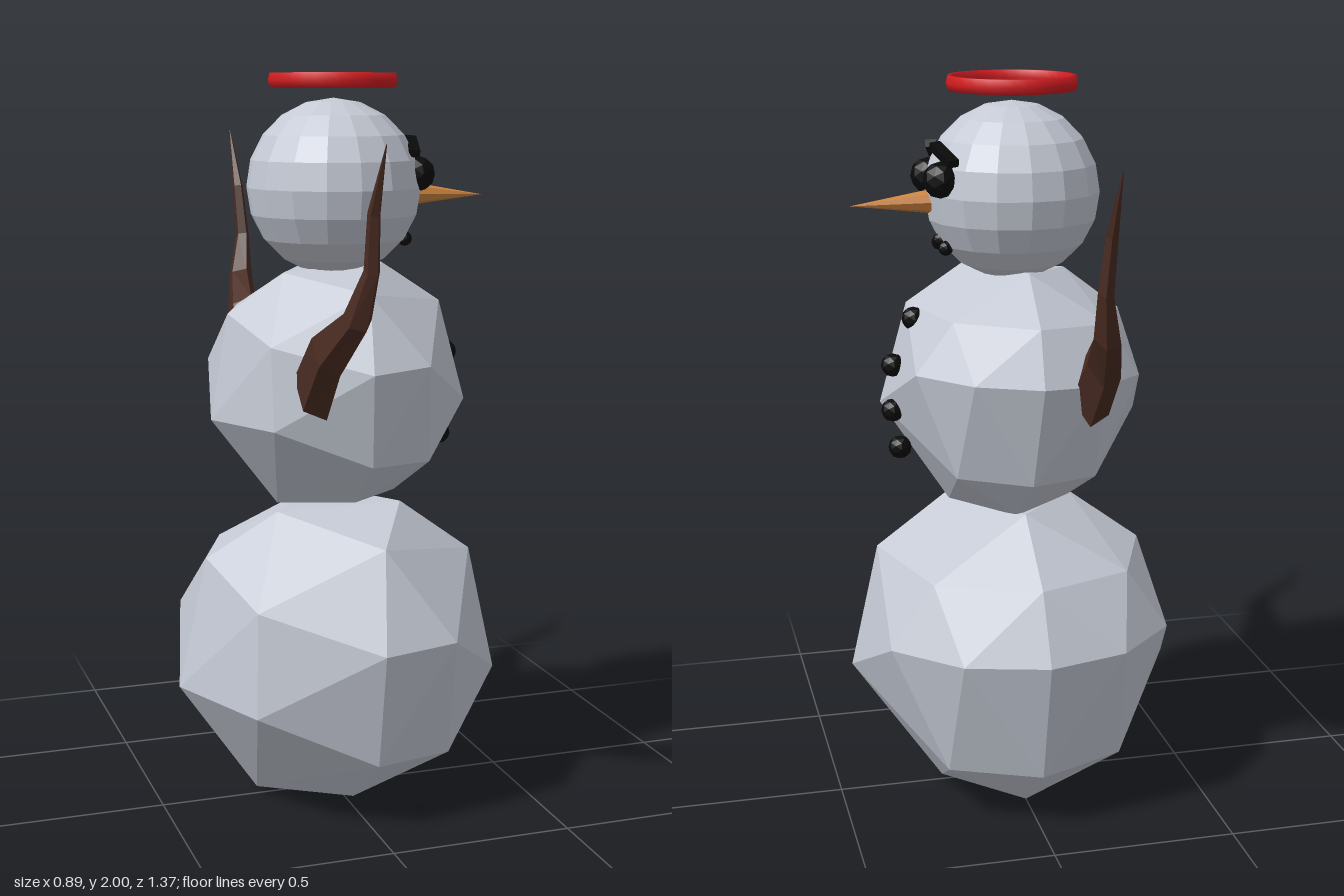
import * as THREE from 'three';
import { ConvexGeometry } from 'three/addons/geometries/ConvexGeometry.js';

const material = (name, color, flatShading = true) => {
  const m = new THREE.MeshStandardMaterial({ color, flatShading });
  m.name = name;
  return m;
};

// Corners of the rough snowball, relative to its centre
const SNOWBALL = [
  [.16, .42, .1], [0, .42, -.165], [-.18, .405, .06],                          // crown
  [.366, .27, .1], [.05, .335, .29], [0, .27, -.36], [-.366, .275, 0],         // shoulder
  [.27, .27, -.25], [-.26, .27, -.26], [-.3, .19, .28],
  [0, .09, .44], [.22, .09, .38], [.385, .09, -.236], [.22, .09, -.396],       // upper belt
  [0, .09, -.455], [-.22, .09, -.396], [-.385, .09, -.236],
  [.445, -.085, .105], [-.447, -.085, 0], [-.316, -.085, .32],                 // lower belt
  [0, -.23, .385], [.24, -.255, .28], [.24, -.255, -.28], [0, -.26, -.375], [-.24, -.255, -.28],
  [.207, -.41, 0], [-.228, -.405, 0], [0, -.425, -.175], [0, -.395, .175],     // foot
];

// Tapered twig with five-sided sections, bent in the z-y plane
// stations: [x, y, z, half width across x, half width in plane]
function twigGeometry(stations, side) {
  const N = 5, pos = [], index = [];
  stations.forEach(([x, y, z, rx, r], i) => {
    const a = stations[Math.max(i - 1, 0)];
    const b = stations[Math.min(i + 1, stations.length - 1)];
    const dir = new THREE.Vector2(b[2] - a[2], b[1] - a[1]).normalize();
    for (let k = 0; k < N; k++) {
      const t = (k / N) * Math.PI * 2;
      const u = Math.sin(t) * r;
      pos.push(x + Math.cos(t) * rx, y + u * dir.x, (z - u * dir.y) * side);
    }
  });
  const tri = (a, b, c) => index.push(...(side > 0 ? [a, b, c] : [a, c, b]));
  for (let i = 0; i < stations.length - 1; i++) {
    for (let k = 0; k < N; k++) {
      const a = i * N + k, b = i * N + (k + 1) % N;
      tri(a, b, b + N);
      tri(a, b + N, a + N);
    }
  }
  for (let k = 1; k < N - 1; k++) tri(0, k + 1, k);
  const g = new THREE.BufferGeometry();
  g.setAttribute('position', new THREE.Float32BufferAttribute(pos, 3));
  g.setIndex(index);
  g.computeVertexNormals();
  return g;
}

export function createModel() {
  const group = new THREE.Group();
  const snow = material('snow', 0xc4c9d4);
  const coal = material('coal', 0x0a0a0a);
  const bark = material('bark', 0x4a2c22);
  const carrot = material('carrot', 0xcc8440);
  const red = material('haloRed', 0xd01c20, false);

  const add = (name, geometry, mat, x = 0, y = 0, z = 0) => {
    const mesh = new THREE.Mesh(geometry, mat);
    mesh.name = name;
    mesh.position.set(x, y, z);
    group.add(mesh);
    return mesh;
  };

  // Body
  const ball = new ConvexGeometry(SNOWBALL.map(p => new THREE.Vector3(...p)));
  add('lowerBody', ball, snow, 0, 0.425, 0);
  const middle = add('upperBody', ball, snow, 0, 1.168, 0);
  middle.scale.setScalar(0.785);
  middle.rotation.z = 0.05;
  add('head', new THREE.SphereGeometry(0.235, 16, 10), snow, 0, 1.7, 0);

  // Halo: a thin upright band
  const band = [[.156, 1.962], [.168, 1.962], [.173, 1.98], [.168, 2], [.156, 2], [.154, 1.98], [.156, 1.962]];
  add('halo', new THREE.LatheGeometry(band.map(p => new THREE.Vector2(...p)), 32), red, 0, 0, -0.005);

  // Nose, pointing along +x
  const nose = add('nose', new THREE.ConeGeometry(0.034, 0.23, 8), carrot, 0.32, 1.675, -0.006);
  nose.rotation.z = -Math.PI / 2 - 0.03;

  // Coal pieces: [name, x, y, z, radius]
  [
    ['eye', .21, 1.735, .08, .048], ['eye', .21, 1.745, -.097, .048],
    ['mouth', .19, 1.56, .042, .02], ['mouth', .195, 1.575, -.005, .02], ['mouth', .19, 1.56, -.053, .02],
    ['button', .27, 1.365, 0, .032], ['button', .328, 1.24, 0, .032],
    ['button', .33, 1.115, 0, .032], ['button', .312, 1.01, 0, .032],
  ].forEach(([name, x, y, z, r]) => add(name, new THREE.IcosahedronGeometry(r, 1), coal, x, y, z));

  // Eyebrows
  for (const side of [1, -1]) {
    const brow = add('eyebrow', new THREE.BoxGeometry(0.03, 0.02, 0.115), coal, 0.198, 1.808, side * 0.078 - 0.005);
    brow.rotation.set(side * 0.33, -side * 0.25, 0);
  }

  // Arms
  const stations = [
    [-.145, 1.19, .275, .05, .09], [-.145, 1.315, .4, .045, .075], [-.115, 1.41, .53, .036, .042],
    [-.095, 1.53, .575, .02, .026], [-.1, 1.67, .602, .016, .02], [-.1, 1.835, .685, .001, .001],
  ];
  for (const side of [1, -1]) add('arm', twigGeometry(stations, side), bark);

  return group;
}
